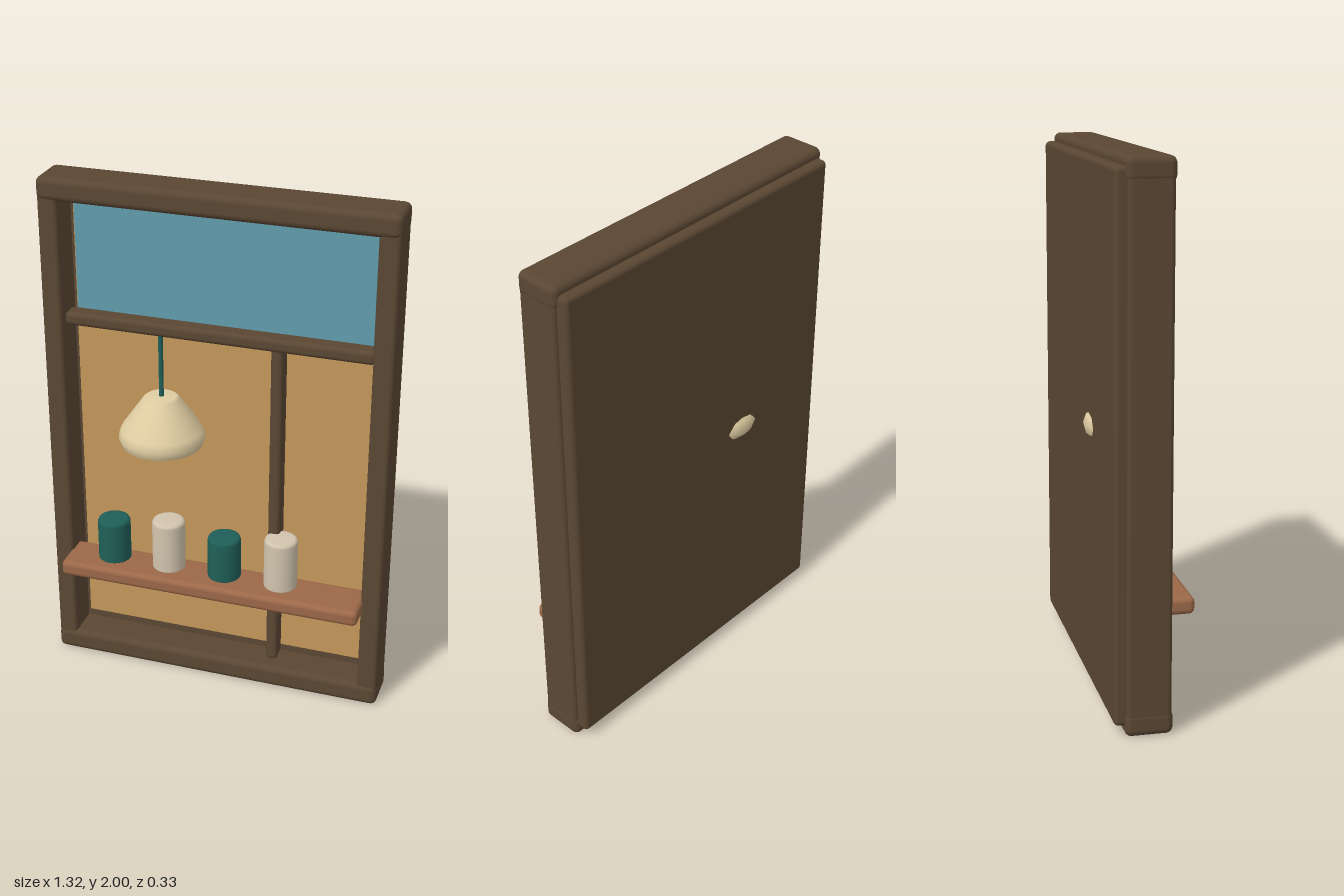
import * as THREE from 'three';
import { RoundedBoxGeometry } from 'three/addons/geometries/RoundedBoxGeometry.js';

const material = (name, color) => {
  const m = new THREE.MeshStandardMaterial({ color });
  m.name = name;
  return m;
};

export function createModel() {
  const wood = material('dark wood', 0x5a4733);
  const ochre = material('ochre panel', 0xc6985a);
  const blue = material('blue glass', 0x629cac);
  const shelfWood = material('reddish shelf wood', 0x9c6849);
  const teal = material('teal', 0x1f5f58);
  const cream = material('cream ceramic', 0xd2c4ae);
  const shade = material('lamp shade', 0xdfcda2);

  const model = new THREE.Group();
  model.name = 'windowScene';

  const add = (name, geometry, mat, x, y, z) => {
    const mesh = new THREE.Mesh(geometry, mat);
    mesh.name = name;
    mesh.position.set(x, y, z);
    model.add(mesh);
    return mesh;
  };

  // Box given by its extents on each axis, with rounded edges when r > 0
  const block = (name, mat, [x0, x1], [y0, y1], [z0, z1], r = 0) => {
    const size = [x1 - x0, y1 - y0, z1 - z0];
    const geometry = r > 0 ? new RoundedBoxGeometry(...size, 3, r) : new THREE.BoxGeometry(...size);
    return add(name, geometry, mat, (x0 + x1) / 2, (y0 + y1) / 2, (z0 + z1) / 2);
  };

  // Backing board and the two coloured panels
  block('backBoard', wood, [-0.645, 0.645], [0.038, 1.967], [-0.145, -0.07], 0.018);
  block('ochrePanel', ochre, [-0.57, 0.566], [0.122, 1.887], [-0.085, -0.062]);
  block('bluePanel', blue, [-0.565, 0.561], [1.45, 1.878], [-0.07, -0.056]);

  // Outer frame
  for (const [name, y0] of [['bottomRail', 0], ['topRail', 1.912]]) {
    block(name, wood, [-0.662, 0.662], [y0, y0 + 0.088], [-0.108, 0.064], 0.025);
  }
  for (const [name, s] of [['rightStile', -1], ['leftStile', 1]]) {
    const xs = [s * 0.66, s * 0.583].sort((a, b) => a - b);
    block(name, wood, xs, [0.03, 1.97], [-0.102, 0.058], 0.016);
  }

  // Inner bars
  block('crossRail', wood, [-0.585, 0.585], [1.428, 1.48], [-0.045, 0.03], 0.018);
  block('mullion', wood, [0.204, 0.25], [0.1, 1.45], [-0.052, 0.022], 0.016);

  // Shelf
  block('shelf', shelfWood, [-0.595, 0.592], [0.411, 0.474], [-0.025, 0.155], 0.02);

  // Cups along the shelf, alternating in colour and height
  [-0.41, -0.185, 0.04, 0.265].forEach((x, i) => {
    const h = i % 2 ? 0.205 : 0.172;
    const r = 0.064;
    const profile = [[0, 0], [r, 0], [r, 0.003], [r, h - 0.014], [r - 0.004, h - 0.004], [r - 0.014, h], [0, h]]
      .map(([a, b]) => new THREE.Vector2(a, b));
    add('cup' + (i + 1), new THREE.LatheGeometry(profile, 24), i % 2 ? cream : teal, x, 0.473, 0.042);
  });

  // Pendant lamp
  add('lampCord', new THREE.CylinderGeometry(0.009, 0.009, 0.27, 12), teal, -0.22, 1.305, 0);
  const shadeProfile = [[0, 0], [0.148, 0], [0.156, 0.004], [0.164, 0.034], [0.154, 0.064], [0.068, 0.188], [0.056, 0.196], [0, 0.196]]
    .map(([a, b]) => new THREE.Vector2(a, b));
  add('lampShade', new THREE.LatheGeometry(shadeProfile, 24), shade, -0.22, 0.985, 0);

  return model;
}
